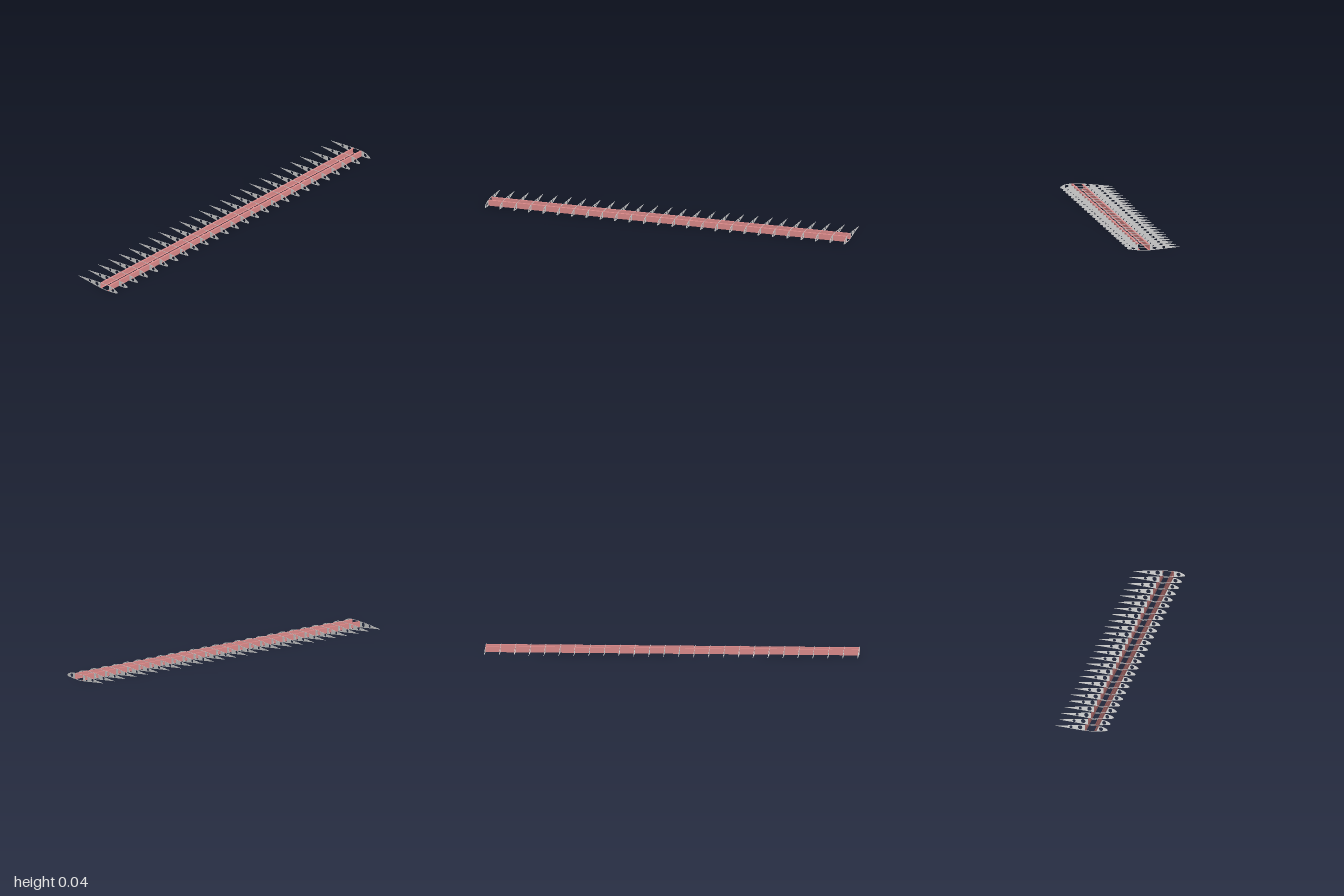
import * as THREE from 'three';

const RIBS = 26;
const THICK = 0.0015;

// Airfoil section drawn as (z, y), nose at +z
function ribShape() {
  const s = new THREE.Shape();
  s.moveTo(-0.144, 0.0145);
  s.splineThru([
    [-0.08, 0.0225], [-0.02, 0.0295], [0.02, 0.033], [0.06, 0.0353], [0.09, 0.035],
    [0.115, 0.032], [0.135, 0.024], [0.144, 0.015], [0.137, 0.0095], [0.11, 0.0055],
    [0.08, 0.002], [0.05, 0], [0.02, 0.0005], [-0.02, 0.0035], [-0.08, 0.009], [-0.144, 0.0145],
  ].map(([z, y]) => new THREE.Vector2(z, y)));

  // Round lightening holes
  for (const [z, y, r] of [[0.108, 0.0185, 0.0105], [-0.006, 0.018, 0.0118], [-0.056, 0.0165, 0.008]]) {
    const hole = new THREE.Path();
    hole.absarc(z, y, r, 0, Math.PI * 2, true);
    s.holes.push(hole);
  }

  // Opening for the two spars
  s.holes.push(new THREE.Path([[0.0195, 0.0025], [0.0195, 0.0318], [0.0835, 0.0335], [0.0835, 0.0045], [0.05, 0.002]]
    .map(([z, y]) => new THREE.Vector2(z, y))));
  return s;
}

// Thin channel along x: upright web at z, flanges reaching towards dir
function spar(name, z, dir, bottom, top, flange, material) {
  const t = 0.001;
  const group = new THREE.Group();
  group.name = name;
  const add = (part, h, d, y, pz) => {
    const mesh = new THREE.Mesh(new THREE.BoxGeometry(2, h, d), material);
    mesh.name = part;
    mesh.position.set(0, y, pz);
    group.add(mesh);
  };
  add('web', top - bottom, t, (top + bottom) / 2, z);
  add('topFlange', t, flange, top - t / 2, z + dir * flange / 2);
  add('bottomFlange', t, flange, bottom + t / 2, z + dir * flange / 2);
  return group;
}

export function createModel() {
  const model = new THREE.Group();
  model.name = 'wingFrame';
  const grey = new THREE.MeshStandardMaterial({ color: 0xcccccc, side: THREE.DoubleSide });
  const red = new THREE.MeshStandardMaterial({ color: 0xd98888 });

  // Row of thin ribs
  const geometry = new THREE.ExtrudeGeometry(ribShape(), { depth: THICK, bevelEnabled: false, curveSegments: 3 * 8 });
  geometry.translate(0, 0, -THICK / 2);
  geometry.rotateY(-Math.PI / 2);
  const ribs = new THREE.Group();
  ribs.name = 'ribs';
  for (let i = 0; i < RIBS; i++) {
    const rib = new THREE.Mesh(geometry, grey);
    rib.name = 'rib';
    rib.position.x = (i / (RIBS - 1) - 0.5) * (2 - THICK);
    ribs.add(rib);
  }
  model.add(ribs);

  // Spars facing each other through the ribs
  model.add(spar('frontSpar', 0.083, -1, 0.004, 0.0345, 0.011, red));
  model.add(spar('rearSpar', 0.02, 1, 0.002, 0.0325, 0.009, red));
  return model;
}
